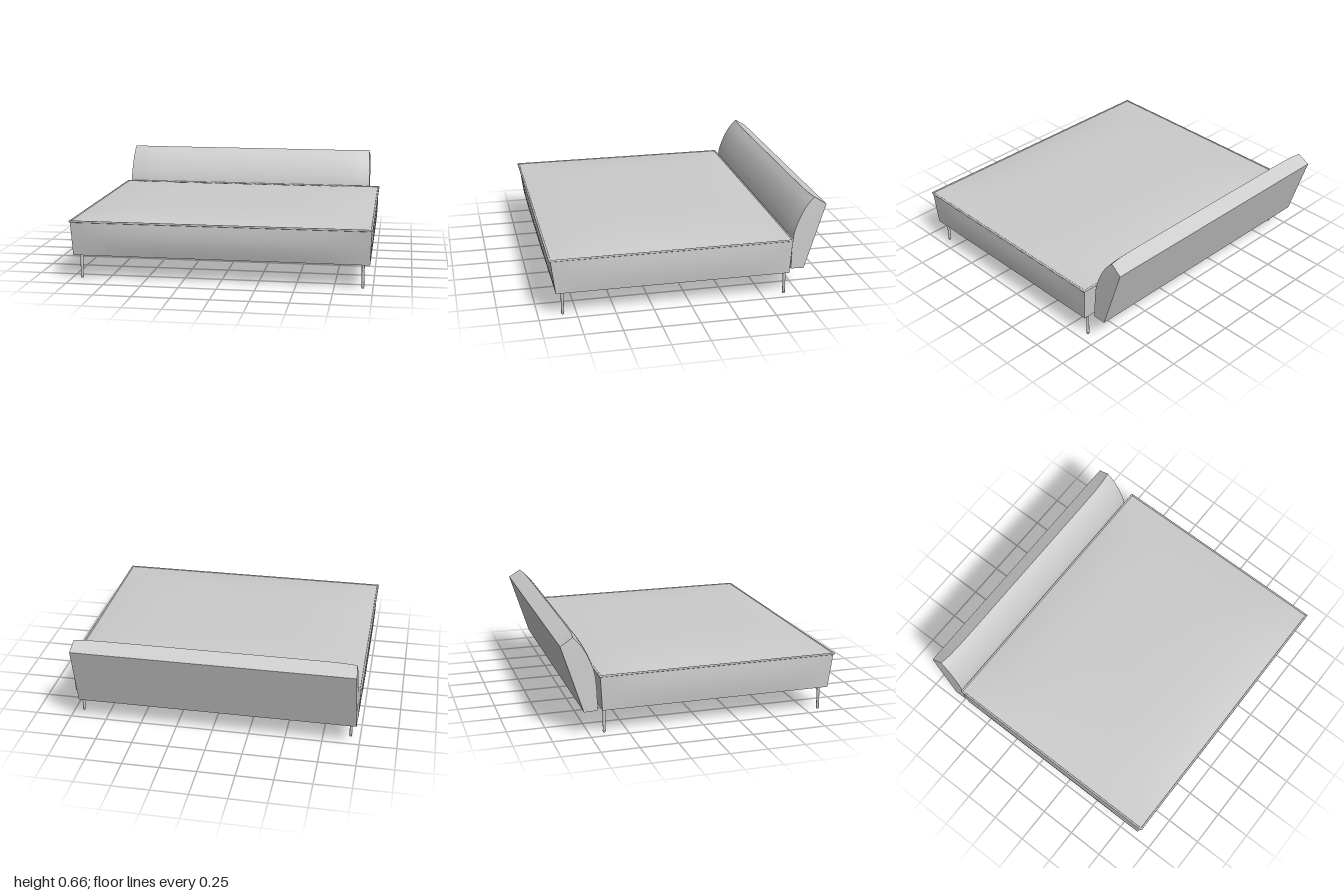
import * as THREE from 'three';
import { toCreasedNormals } from 'three/addons/utils/BufferGeometryUtils.js';

const { lerp } = THREE.MathUtils;

// Unit box (corners at -1..1) whose vertices are moved by rule(x, y, z) -> [x, y, z]
function shapedBox(sx, sy, sz, rule) {
  const geo = new THREE.BoxGeometry(2, 2, 2, sx, sy, sz);
  const p = geo.attributes.position;
  for (let i = 0; i < p.count; i++) p.setXYZ(i, ...rule(p.getX(i), p.getY(i), p.getZ(i)));
  return toCreasedNormals(geo, 0.6);
}

export function createModel() {
  const group = new THREE.Group();
  const fabric = new THREE.MeshStandardMaterial({ color: 0xcccccc });
  fabric.name = 'light grey fabric';

  const add = (name, geo) => {
    const mesh = new THREE.Mesh(geo, fabric);
    mesh.name = name;
    group.add(mesh);
    return mesh;
  };

  // Mattress: crowned top, sides swelling outward and tucked in at the base
  add('mattress', shapedBox(24, 8, 24, (x, y, z) => {
    const h = (y + 1) / 2;
    const swell = Math.sin(Math.PI * h);
    const pad = 1 - Math.pow(x, 4);
    const padZ = 1 - Math.pow(z, 4);
    const crown = 0.035 * pad * padZ * (h > 0.99 ? 1 : 0);
    const halfX = lerp(0.98, 0.988, h) + 0.008 * swell * padZ;
    const front = lerp(0.885, 0.915, h) + 0.014 * swell * pad;
    const back = lerp(-0.67, -0.683, h);
    return [x * halfX, lerp(0.165, 0.4, h) + crown, lerp(back, front, (z + 1) / 2)];
  }));

  // Piping along the upper rim
  const rim = [[-0.988, 0.918], [0.988, 0.918], [0.988, -0.683], [-0.988, -0.683]]
    .map(([x, z]) => new THREE.Vector3(x, 0.398, z));
  rim.forEach((a, i) => {
    const line = new THREE.LineCurve3(a, rim[(i + 1) % 4]);
    add('piping', new THREE.TubeGeometry(line, 1, 0.007, 8));
    add('pipingCorner', new THREE.SphereGeometry(0.007, 8, 6)).position.copy(a);
  });

  // Backrest: flat slanted rear, front curving back toward the top
  const face = new THREE.CatmullRomCurve3([
    [0.168, -0.685], [0.3, -0.688], [0.42, -0.7], [0.54, -0.745], [0.61, -0.787], [0.66, -0.832],
  ].map(([y, z]) => new THREE.Vector3(0, y, z)));
  add('backrest', shapedBox(24, 16, 4, (x, y, z) => {
    const h = (y + 1) / 2;
    const f = face.getPoint(h);
    const rear = [lerp(0.165, 0.608, h), lerp(-0.79, -0.93, h)];
    const d = (z + 1) / 2;
    // ends of the padded front are slightly pulled in
    const tuck = 0.016 * Math.pow(Math.abs(x), 12) * d;
    const halfX = lerp(0.95, 0.942, h) - 0.008 * d * h;
    return [-0.028 + x * halfX, lerp(rear[0], f.y, d), lerp(rear[1], f.z, d) - tuck];
  }));

  // Four slim legs with small feet
  for (const x of [-0.935, 0.935]) {
    for (const z of [0.84, -0.65]) {
      add('leg', new THREE.CylinderGeometry(0.01, 0.009, 0.16, 12)).position.set(x, 0.09, z);
      add('foot', new THREE.CylinderGeometry(0.011, 0.007, 0.015, 12)).position.set(x, 0.0075, z);
    }
  }
  return group;
}
